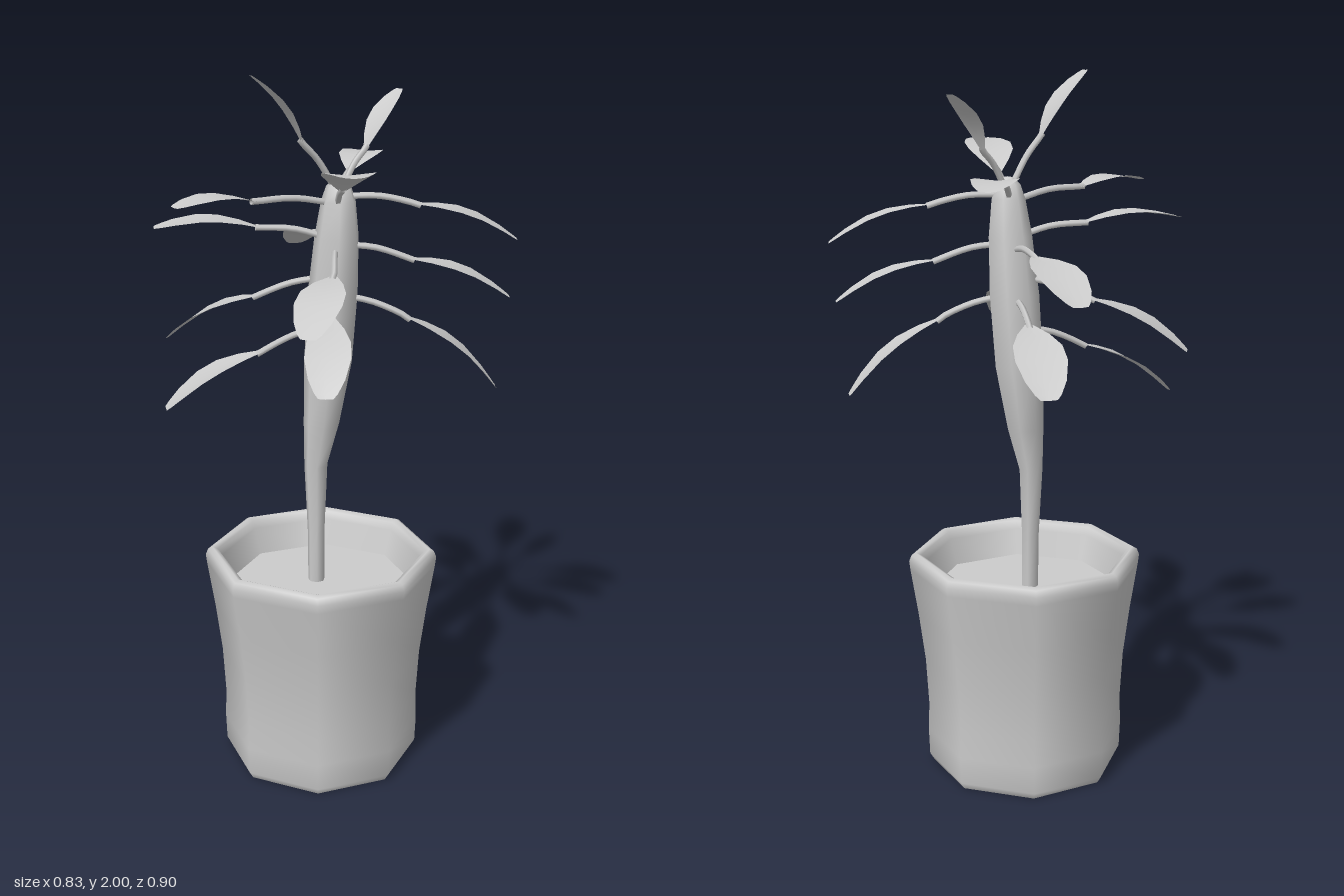
import * as THREE from 'three';

const V = (a) => new THREE.Vector3(...a);
const grey = new THREE.MeshStandardMaterial({ color: 0xcccccc });
const leafMat = new THREE.MeshStandardMaterial({ color: 0xcccccc, side: THREE.DoubleSide });
const UP = new THREE.Vector3(0, 1, 0);

function mesh(name, geometry, material = grey) {
  const m = new THREE.Mesh(geometry, material);
  m.name = name;
  return m;
}

// Skin of horizontal rings [x, y, z, radius], each with the given side count
function loft(rings, sides) {
  const pos = [], idx = [];
  rings.forEach(([x, y, z, r], i) => {
    for (let j = 0; j < sides; j++) {
      const a = (j / sides) * Math.PI * 2;
      pos.push(x + r * Math.sin(a), y, z + r * Math.cos(a));
      if (i === 0) continue;
      const k = (j + 1) % sides, lo = (i - 1) * sides, hi = i * sides;
      idx.push(lo + j, lo + k, hi + k, lo + j, hi + k, hi + j);
    }
  });
  const g = new THREE.BufferGeometry();
  g.setAttribute('position', new THREE.Float32BufferAttribute(pos, 3));
  g.setIndex(idx);
  g.computeVertexNormals();
  return g;
}

// Arched blade from neck to tip: [position along, half width factor]
const OUTLINE = [[0, 0.16], [0.2, 0.62], [0.4, 0.95], [0.6, 1], [0.82, 0.78], [0.95, 0.5], [1, 0.32]];
function blade(neck, tip, halfWidth) {
  const dir = tip.clone().sub(neck);
  const side = dir.clone().cross(UP).normalize();
  const normal = side.clone().cross(dir).normalize();
  const pos = [], idx = [];
  OUTLINE.forEach(([t, w], i) => {
    const mid = neck.clone().addScaledVector(dir, t).addScaledVector(normal, 0.09 * dir.length() * Math.sin(Math.PI * t));
    for (const s of [-1, 0, 1]) {
      const p = mid.clone().addScaledVector(side, s * w * halfWidth);
      if (s === 0) p.addScaledVector(normal, -0.1 * w * halfWidth);
      pos.push(p.x, p.y, p.z);
    }
    if (i === 0) return;
    for (const j of [0, 1]) {
      const a = (i - 1) * 3 + j, b = i * 3 + j;
      idx.push(a, a + 1, b + 1, a, b + 1, b);
    }
  });
  const g = new THREE.BufferGeometry();
  g.setAttribute('position', new THREE.Float32BufferAttribute(pos, 3));
  g.setIndex(idx);
  g.computeVertexNormals();
  return g;
}

// Each leaf: stem base, neck where the blade begins, blade tip, half width
const TRUNK = [0.035, -0.04];
const at = (y) => [TRUNK[0] - Math.max(0, 1.6 - y) * 0.08, y, TRUNK[1]];
const LEAVES = [
  // crown
  [[0.035, 1.69, -0.035], [0.02, 1.82, 0.07], [-0.035, 2.0, 0.2], 0.046],
  [[0.045, 1.69, -0.05], [0.05, 1.79, -0.13], [0.055, 1.94, -0.255], 0.037],
  // upper tier
  [at(1.64), [0.18, 1.72, 0.08], [0.405, 1.8, 0.26], 0.068],
  [at(1.67), [0.17, 1.65, -0.2], [0.36, 1.55, -0.41], 0.062],
  [at(1.66), [-0.08, 1.71, -0.2], [-0.24, 1.72, -0.445], 0.06],
  [at(1.65), [-0.02, 1.68, 0.2], [-0.055, 1.69, 0.44], 0.055],
  // middle tier
  [at(1.53), [0.18, 1.5, 0.11], [0.34, 1.41, 0.35], 0.062],
  [at(1.54), [0.16, 1.5, -0.19], [0.35, 1.39, -0.4], 0.06],
  [at(1.55), [-0.09, 1.59, 0.12], [-0.25, 1.6, 0.36], 0.06],
  [at(1.52), [-0.15, 1.53, -0.16], [-0.405, 1.44, -0.29], 0.066],
  // lower tier
  [at(1.4), [0.17, 1.39, 0.11], [0.35, 1.25, 0.3], 0.06],
  [at(1.4), [0.16, 1.34, -0.18], [0.33, 1.13, -0.38], 0.064],
  [at(1.45), [-0.14, 1.39, 0.09], [-0.375, 1.25, 0.23], 0.068],
  [at(1.39), [-0.14, 1.35, -0.17], [-0.355, 1.21, -0.35], 0.068],
  [at(1.31), [-0.08, 1.25, 0.13], [-0.225, 1.1, 0.36], 0.062],
];

export function createModel() {
  const model = new THREE.Group();
  model.name = 'pottedPlant';

  // Eight-sided pot with a rounded rim
  const pot = new THREE.Group();
  pot.name = 'pot';
  const profile = [
    [0.272, 0], [0.284, 0.02], [0.287, 0.1], [0.284, 0.18], [0.292, 0.32], [0.31, 0.46], [0.332, 0.6],
    [0.335, 0.625], [0.328, 0.643], [0.315, 0.65], [0.3, 0.643], [0.292, 0.62], [0.262, 0.53],
  ].map(([r, y]) => new THREE.Vector2(r, y));
  pot.add(mesh('potWall', new THREE.LatheGeometry(profile, 8)));
  pot.add(mesh('potBase', new THREE.CircleGeometry(0.272, 8).rotateX(Math.PI / 2)));
  const soil = mesh('soil', new THREE.CircleGeometry(0.27, 8).rotateX(-Math.PI / 2));
  soil.position.y = 0.545;
  pot.add(soil);
  pot.position.x = 0.015;
  model.add(pot);

  // Leaning trunk, thin at the foot and swollen above
  model.add(mesh('trunk', loft([
    [-0.003, 0.53, 0, 0.024], [-0.004, 0.7, 0, 0.025], [-0.01, 0.9, -0.005, 0.034],
    [-0.002, 1.02, -0.02, 0.052], [0.009, 1.2, -0.035, 0.069], [0.024, 1.4, -0.038, 0.071],
    [0.036, 1.56, -0.04, 0.062], [0.042, 1.66, -0.04, 0.048], [0.042, 1.7, -0.04, 0.034],
    [0.042, 1.718, -0.04, 0.013], [0.042, 1.72, -0.04, 0],
  ], 7)));

  // Leaves on curved stems
  LEAVES.forEach(([base, neck, tip, halfWidth]) => {
    const leaf = new THREE.Group();
    leaf.name = 'leaf';
    const a = V(base), b = V(neck), c = V(tip);
    const bend = a.clone().lerp(b, 0.55);
    bend.y += 0.012;
    const end = b.clone().lerp(c, 0.06);
    const curve = new THREE.CatmullRomCurve3([a, bend, b, end]);
    leaf.add(mesh('leafStem', new THREE.TubeGeometry(curve, 8, 0.009, 5), leafMat));
    leaf.add(mesh('leafBlade', blade(b, c, halfWidth), leafMat));
    model.add(leaf);
  });
  return model;
}
